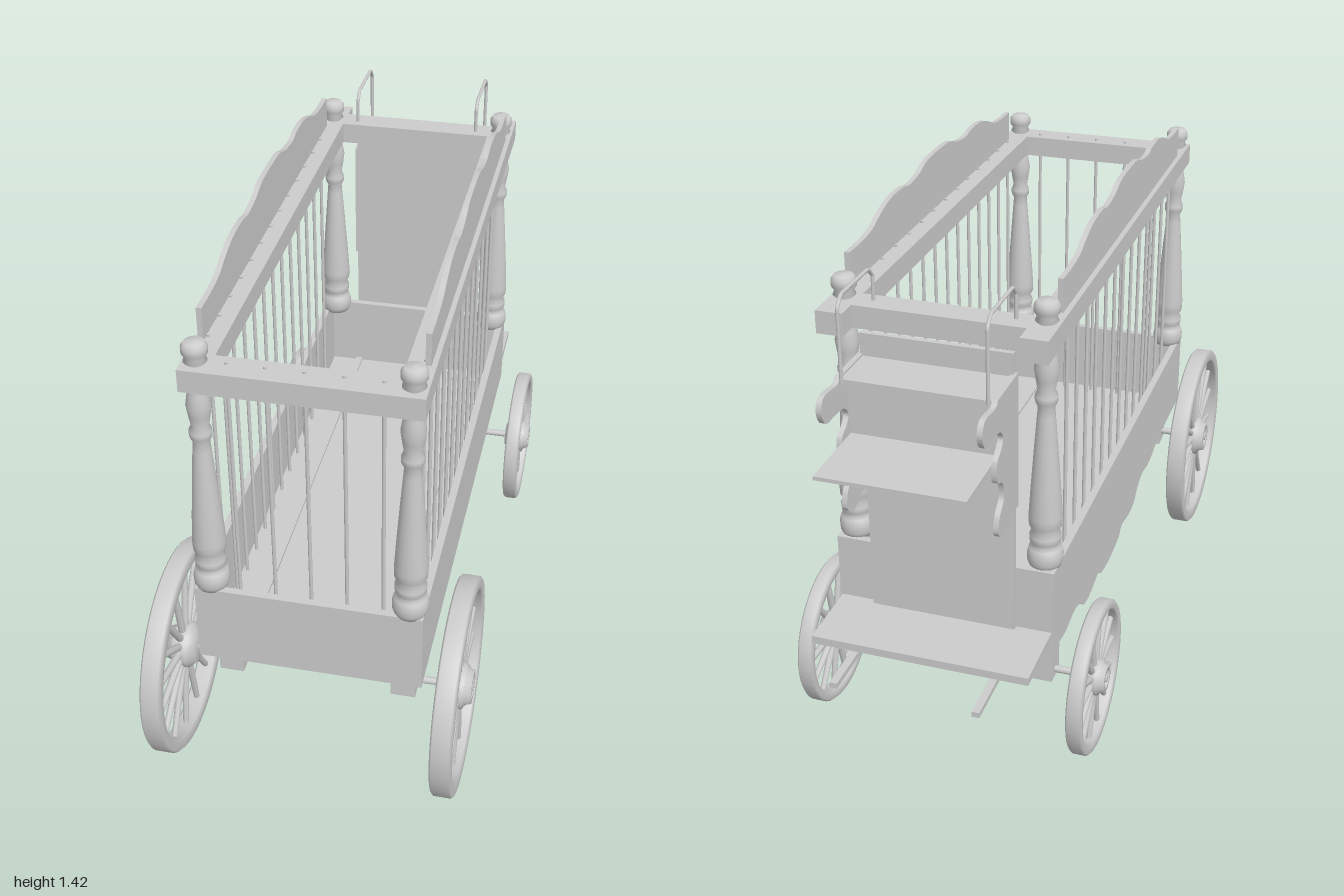
import * as THREE from 'three';

const mat = new THREE.MeshStandardMaterial({ color: 0xcccccc, side: THREE.DoubleSide });
const V2 = (p) => new THREE.Vector2(p[0], p[1]);

export function createModel() {
  const model = new THREE.Group();

  const add = (name, geo, x = 0, y = 0, z = 0, parent = model) => {
    const m = new THREE.Mesh(geo, mat);
    m.name = name;
    m.position.set(x, y, z);
    parent.add(m);
    return m;
  };
  // Box given by its extents on each axis
  const box = (name, x0, x1, y0, y1, z0, z1) =>
    add(name, new THREE.BoxGeometry(x1 - x0, y1 - y0, z1 - z0), (x0 + x1) / 2, (y0 + y1) / 2, (z0 + z1) / 2);
  const rod = (name, x, y0, y1, z, r = 0.005) =>
    add(name, new THREE.CylinderGeometry(r, r, y1 - y0, 8), x, (y0 + y1) / 2, z);
  // Flat board cut from a (z, y) outline, centred on x = 0
  const board = (shape, t) => {
    const g = new THREE.ExtrudeGeometry(shape, { depth: t, bevelEnabled: false, curveSegments: 6 });
    return g.rotateY(-Math.PI / 2).translate(t / 2, 0, 0);
  };
  // Smooth half-outline mirrored about z = c
  const mirrored = (half, c) =>
    [...half.map(([d, y]) => [c + d, y]), ...half.slice(0, -1).reverse().map(([d, y]) => [c - d, y])];
  const cutBoard = (edge, closing, t) => {
    const s = new THREE.Shape();
    s.moveTo(...edge[0]);
    s.splineThru(edge.slice(1).map(V2));
    closing.forEach((p) => s.lineTo(...p));
    s.closePath();
    return board(s, t);
  };

  // Wagon bed: open box with thin walls
  for (const s of [-1, 1]) {
    const x = s * 0.285;
    box('bedSide', x - 0.01, x + 0.01, 0.37, 0.6, -0.67, 0.815);
  }
  box('bedFront', -0.275, 0.275, 0.37, 0.6, 0.795, 0.815);
  box('bedBack', -0.275, 0.275, 0.37, 0.6, -0.67, -0.65);
  box('bedFloor', -0.275, 0.275, 0.37, 0.38, -0.65, 0.795);

  // Top frame
  for (const s of [-1, 1]) {
    const x = s * 0.256;
    box('topSideRail', x - 0.035, x + 0.035, 1.205, 1.265, -0.72, 0.82);
  }
  box('topFrontRail', -0.221, 0.221, 1.205, 1.265, 0.74, 0.82);
  box('topBackRail', -0.221, 0.221, 1.205, 1.265, -0.665, -0.59);

  // Turned corner posts
  const postProfile = [
    [0, 0.595], [0.04, 0.595], [0.046, 0.61], [0.047, 0.63], [0.042, 0.65], [0.033, 0.656],
    [0.04, 0.668], [0.041, 0.685], [0.034, 0.7], [0.042, 0.715], [0.043, 0.74], [0.038, 0.82],
    [0.03, 0.93], [0.023, 1.02], [0.021, 1.045], [0.028, 1.06], [0.029, 1.075], [0.022, 1.09],
    [0.027, 1.12], [0.031, 1.15], [0.026, 1.18], [0.022, 1.205], [0.021, 1.265], [0.029, 1.272],
    [0.024, 1.283], [0.032, 1.295], [0.032, 1.312], [0.024, 1.323], [0, 1.326],
  ].map(V2);
  const postGeo = new THREE.LatheGeometry(postProfile, 20);
  for (const x of [-0.257, 0.257])
    for (const z of [0.78, -0.62]) add('cornerPost', postGeo, x, 0, z);

  // Cage bars
  for (let i = 0; i < 13; i++)
    for (const x of [-0.262, 0.262]) rod('sideBar', x, 0.38, 1.27, 0.663 - i * 0.0938);
  for (let i = -2; i <= 2; i++) rod('frontBar', i * 0.093, 0.38, 1.27, 0.77);

  // Scalloped boards above the roof rails
  const crest = mirrored([
    [0.625, 1.355], [0.55, 1.355], [0.48, 1.363], [0.42, 1.385], [0.35, 1.402], [0.27, 1.403],
    [0.22, 1.395], [0.15, 1.403], [0.09, 1.42], [0, 1.424],
  ], 0.063);
  const crestGeo = cutBoard(crest, [[-0.562, 1.268], [0.688, 1.268]], 0.014);
  for (const s of [-1, 1]) add('crestBoard', crestGeo, s * 0.272);

  // Scalloped skirts under the bed
  const skirt = mirrored([
    [0.66, 0.3], [0.56, 0.275], [0.48, 0.265], [0.4, 0.275], [0.34, 0.258], [0.29, 0.225], [0.22, 0.222],
    [0.14, 0.235], [0.1, 0.212], [0, 0.202],
  ], 0.04);
  const skirtGeo = cutBoard(skirt, [[-0.62, 0.372], [0.7, 0.372]], 0.014);
  for (const s of [-1, 1]) add('skirt', skirtGeo, s * 0.258);

  // Wheels, built with their axle along x and the hub nose outward
  const makeWheel = (R, width, rim, hubR, spokes, reach) => {
    const g = new THREE.Group();
    g.name = 'wheel';
    const w = width / 2, b = 0.006, r = R - rim;
    const ring = [[r, -w + b], [r + b, -w], [R - b, -w], [R, -w + b], [R, w - b], [R - b, w], [r + b, w], [r, w - b], [r, -w + b]];
    add('rim', new THREE.LatheGeometry(ring.map(V2), 48).rotateZ(-Math.PI / 2), 0, 0, 0, g);
    const hub = [
      [0, -0.04], [hubR * 0.7, -0.04], [hubR, -0.02], [hubR, 0.018], [hubR * 0.8, 0.024], [hubR * 0.72, reach],
      [hubR * 0.5, reach], [hubR * 0.45, reach - 0.012], [hubR * 0.2, reach - 0.012], [hubR * 0.2, reach], [0, reach],
    ];
    add('hub', new THREE.LatheGeometry(hub.map(V2), 24).rotateZ(-Math.PI / 2), 0, 0, 0, g);
    const len = r + b - hubR * 0.8;
    const spokeGeo = new THREE.CylinderGeometry(0.008, 0.011, len, 8).translate(0, hubR * 0.8 + len / 2, 0);
    for (let i = 0; i < spokes; i++)
      add('spoke', spokeGeo, 0, 0, 0, g).rotation.x = ((i + 0.5) / spokes) * Math.PI * 2;
    return g;
  };
  const axles = [
    { name: 'front', y: 0.295, z: 0.71, wheel: [0.29, 0.055, 0.036, 0.062, 16, 0.04] },
    { name: 'rear', y: 0.215, z: -0.55, wheel: [0.21, 0.043, 0.028, 0.05, 14, 0.036] },
  ];
  for (const a of axles) {
    add(a.name + 'Axle', new THREE.CylinderGeometry(0.01, 0.01, 0.78, 12).rotateZ(Math.PI / 2), 0, a.y, a.z);
    for (const s of [-1, 1]) {
      const wheel = makeWheel(...a.wheel);
      wheel.name = a.name + 'Wheel';
      wheel.position.set(s * 0.375, a.y, a.z);
      if (s < 0) wheel.rotation.y = Math.PI;
      model.add(wheel);
      // Axle hanger block
      const x = s * 0.234;
      box(a.name + 'AxleBlock', x - 0.033, x + 0.033, a.y - (a.z > 0 ? 0.035 : 0.02), 0.37, a.z - 0.035, a.z + 0.035);
    }
  }

  // Chassis beams, running out behind the bed
  for (const x of [-0.188, 0.188]) box('chassisBeam', x - 0.01, x + 0.01, 0.355, 0.388, -0.65, 0.79);
  for (const x of [-0.188, 0.188]) box('beamEnd', x - 0.01, x + 0.01, 0.355, 0.37, -0.97, -0.65);

  // Rear step and back panel
  box('rearStep', -0.29, 0.29, 0.398, 0.42, -0.868, -0.67);
  box('backPanel', -0.195, 0.195, 0.42, 1.205, -0.685, -0.67);

  // Rear desk: scrolled cheeks, top, front board and shelf
  const cheek = [
    [-0.82, 1.15], [-0.84, 1.138], [-0.91, 1.143], [-0.931, 1.11], [-0.91, 1.072], [-0.86, 1.068],
    [-0.81, 1.062], [-0.785, 1.035], [-0.8, 1.012], [-0.83, 0.99], [-0.83, 0.94], [-0.79, 0.915], [-0.782, 0.87],
    [-0.815, 0.835], [-0.822, 0.79], [-0.78, 0.768], [-0.735, 0.79],
  ];
  const cheekGeo = cutBoard(cheek, [[-0.67, 0.785], [-0.67, 1.15]], 0.014);
  for (const s of [-1, 1]) add('deskCheek', cheekGeo, s * 0.195);
  box('deskTop', -0.188, 0.188, 1.13, 1.145, -0.82, -0.685);
  box('deskFront', -0.188, 0.188, 0.98, 1.13, -0.78, -0.77);
  box('deskShelf', -0.187, 0.187, 0.972, 0.982, -1.0, -0.685);

  // Bent grab rails over the back
  const path = new THREE.CurvePath();
  const P = (y, z) => new THREE.Vector3(0, y, z);
  const bends = [P(1.2, -0.62), P(1.33, -0.62), P(1.355, -0.645), P(1.355, -0.805), P(1.33, -0.828), P(1.14, -0.828)];
  for (let i = 1; i < bends.length; i++) path.add(new THREE.LineCurve3(bends[i - 1], bends[i]));
  const railGeo = new THREE.TubeGeometry(path, 60, 0.005, 8);
  for (const x of [-0.181, 0.181]) add('grabRail', railGeo, x);

  return model;
}
